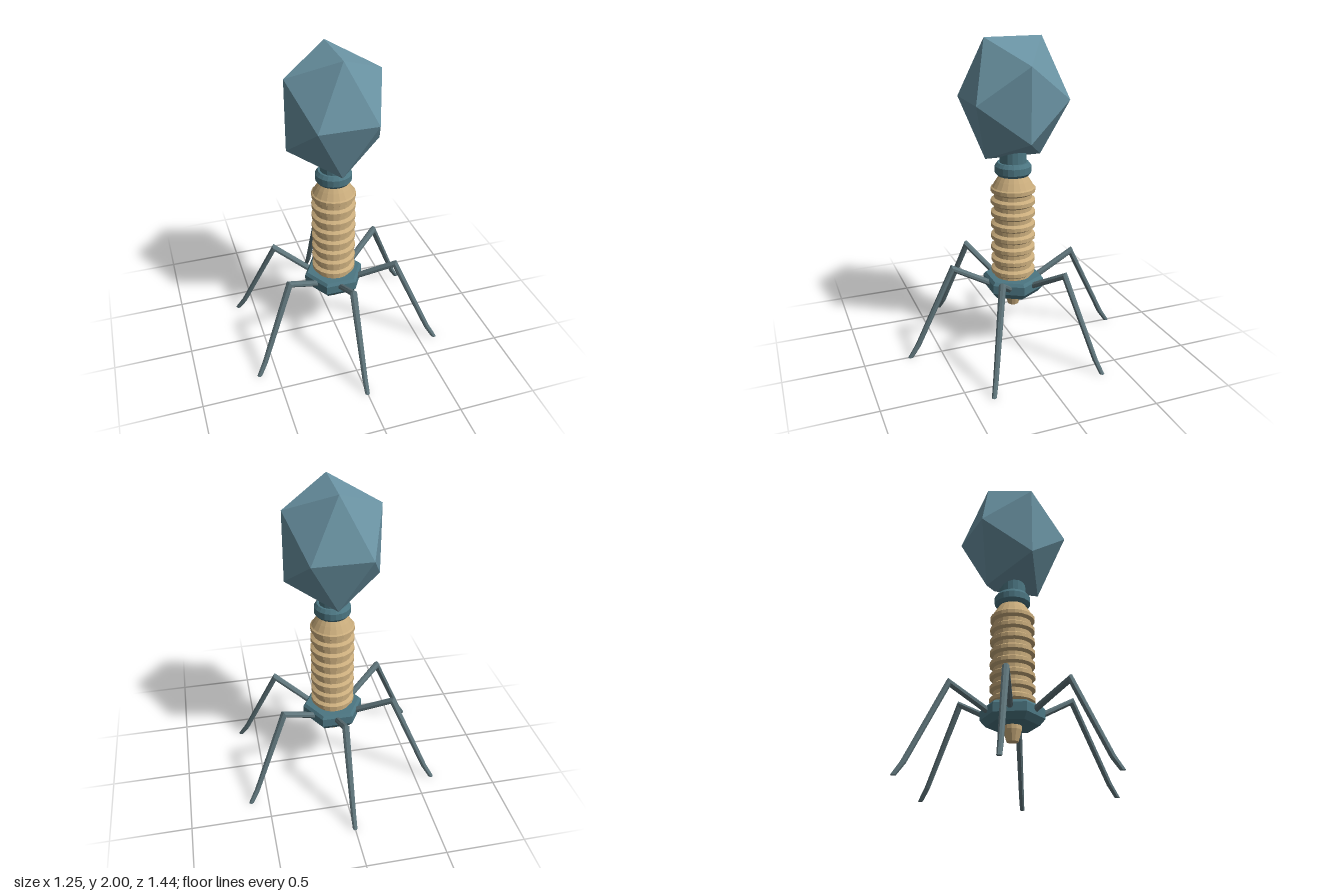
import * as THREE from 'three';

const paint = (color) => new THREE.MeshStandardMaterial({ color, flatShading: true });
const headPaint = paint(0x6a93a3);
const tealPaint = paint(0x4c7682);
const sheathPaint = paint(0xc9ac7c);
const legPaint = paint(0x5f757b);

// Turned part from [radius, y] pairs listed bottom to top
function turned(name, profile, sides, material, start = 0) {
  const points = profile.map(([r, y]) => new THREE.Vector2(r, y));
  const mesh = new THREE.Mesh(new THREE.LatheGeometry(points, sides, start), material);
  mesh.name = name;
  return mesh;
}

// Leg: rings of [reach, height, radius across, half depth, tilt of the ring plane], joined in a loop
function legGeometry(sides = 8) {
  const rings = [
    [0.13, 0.418, 0.02, 0.02, 2.1],
    [0.41, 0.574, 0.023, 0.027, 1.27],
    [0.652, 0.078, 0.017, 0.017, 0.48],
    [0.704, 0, 0.015, 0.017, 0],
  ];
  const positions = [];
  const index = [];
  for (const [reach, height, across, depth, tilt] of rings) {
    for (let i = 0; i < sides; i++) {
      const a = ((i + 0.5) / sides) * Math.PI * 2;
      const d = Math.cos(a) * depth;
      positions.push(reach + d * Math.cos(tilt), height + d * Math.sin(tilt), Math.sin(a) * across);
    }
  }
  for (let k = 0; k < rings.length - 1; k++) {
    for (let i = 0; i < sides; i++) {
      const a = k * sides + i;
      const b = k * sides + ((i + 1) % sides);
      index.push(a, a + sides, b, b, a + sides, b + sides);
    }
  }
  // End caps
  const last = (rings.length - 1) * sides;
  for (let i = 1; i < sides - 1; i++) {
    index.push(0, i, i + 1, last, last + i + 1, last + i);
  }
  // Flip the winding if the faces turned out inward
  const geometry = new THREE.BufferGeometry();
  geometry.setAttribute('position', new THREE.Float32BufferAttribute(positions, 3));
  const v = (i) => new THREE.Vector3().fromArray(positions, i * 3);
  const normal = v(index[1]).sub(v(index[0])).cross(v(index[2]).sub(v(index[0])));
  const outward = v(index[0]).sub(new THREE.Vector3(rings[0][0], rings[0][1], 0));
  if (normal.dot(outward) < 0) index.reverse();
  geometry.setIndex(index);
  geometry.computeVertexNormals();
  return geometry;
}

export function createModel() {
  const model = new THREE.Group();
  model.name = 'bacteriophage';

  // Stretched icosahedral head with an edge along z at the top
  const head = new THREE.Mesh(new THREE.IcosahedronGeometry(0.347, 0), headPaint);
  head.name = 'head';
  head.rotation.y = Math.PI / 2;
  head.scale.y = 1.237;
  head.position.y = 1.635;
  model.add(head);

  // Neck and collar
  model.add(turned('neck', [[0, 1.13], [0.085, 1.13], [0.085, 1.36], [0, 1.36]], 16, tealPaint));
  model.add(turned('collar', [
    [0, 1.152], [0.1, 1.152], [0.115, 1.17], [0.115, 1.212], [0.098, 1.235], [0, 1.235],
  ], 20, tealPaint));

  // Ribbed sheath
  const sheath = [[0, 0.46], [0.12, 0.46]];
  const ribs = 8;
  const pitch = 0.0777;
  for (let i = 0; i < ribs; i++) {
    const y = 0.515 + i * pitch;
    sheath.push([0.12, y - 0.026], [0.141, y - 0.012], [0.141, y + 0.012], [0.12, y + 0.026]);
  }
  sheath[sheath.length - 1] = [0.132, 1.078];
  sheath.push([0.108, 1.118], [0.085, 1.152], [0, 1.152]);
  model.add(turned('sheath', sheath, 20, sheathPaint));

  // Hexagonal baseplate with corners on the x axis, and the spike below it
  model.add(turned('baseplate', [
    [0, 0.36], [0.163, 0.36], [0.198, 0.4], [0.198, 0.456], [0.182, 0.475], [0, 0.475],
  ], 6, tealPaint, Math.PI / 6));
  model.add(turned('spike', [
    [0, 0.265], [0.036, 0.265], [0.056, 0.335], [0.056, 0.37], [0, 0.37],
  ], 12, sheathPaint));

  // Six jointed legs, one from each flat of the baseplate
  const geometry = legGeometry();
  for (let i = 0; i < 6; i++) {
    const leg = new THREE.Mesh(geometry, legPaint);
    leg.name = `leg${i + 1}`;
    leg.rotation.y = Math.PI / 6 + (i * Math.PI) / 3;
    model.add(leg);
  }
  return model;
}
